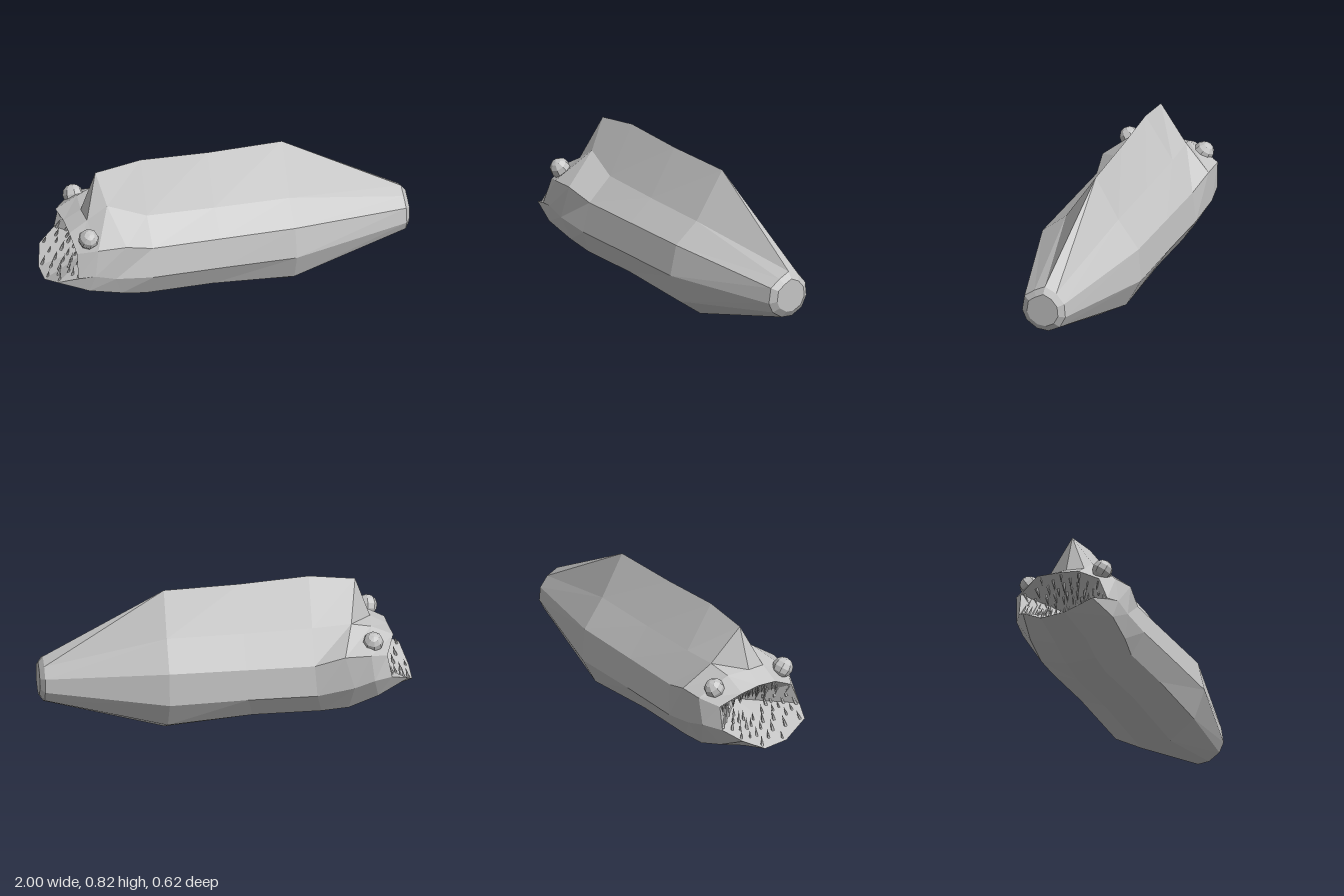
import * as THREE from 'three';

const V = (x, y, z) => new THREE.Vector3(x, y, z);
const ring = (pts) => pts.map((p) => V(...p));
// cross-section [z, y] placed at one x, starting at the ridge and running down the +z side
const flatRing = (x, pts) => pts.map(([z, y]) => V(x, y, z));
const collapse = (r, centre, t) => r.map((p) => p.clone().lerp(centre, t));

// faceted skin through a list of rings, ordered from tail to head
function loft(rings, material, name) {
  const pos = [];
  for (let i = 0; i < rings.length - 1; i++) {
    const n = rings[i].length;
    for (let k = 0; k < n; k++) {
      const a = rings[i][k], b = rings[i][(k + 1) % n];
      const c = rings[i + 1][(k + 1) % n], d = rings[i + 1][k];
      for (const t of [[a, d, c], [a, c, b]]) {
        const area = t[1].clone().sub(t[0]).cross(t[2].clone().sub(t[0])).length();
        if (area > 1e-9) t.forEach((p) => pos.push(p.x, p.y, p.z));
      }
    }
  }
  const g = new THREE.BufferGeometry();
  g.setAttribute('position', new THREE.Float32BufferAttribute(pos, 3));
  g.computeVertexNormals();
  const m = new THREE.Mesh(g, material);
  m.name = name;
  return m;
}

export function createModel() {
  const group = new THREE.Group();
  const grey = new THREE.MeshStandardMaterial({ color: 0xc4c4c4, flatShading: true });
  grey.name = 'pale grey';

  // tail stub
  const tail = flatRing(0.975, [[0, 0.43], [0.06, 0.4], [0.117, 0.36], [0.13, 0.275], [0.105, 0.22],
    [0.045, 0.18], [-0.02, 0.175], [-0.085, 0.208], [-0.117, 0.27], [-0.11, 0.345], [-0.065, 0.4]]);
  const tailHub = V(0.975, 0.305, 0);
  const tip = collapse(tail, tailHub, 0.28);
  tip.forEach((p) => { p.x = 1; });
  const tipCentre = collapse(tip, V(1, 0.305, 0), 1);

  // widest part of the body
  const hind = flatRing(0.33, [[-0.035, 0.8], [0.135, 0.547], [0.27, 0.44], [0.308, 0.275], [0.248, 0.115],
    [0.11, 0.015], [-0.06, 0.003], [-0.21, 0.085], [-0.295, 0.24], [-0.28, 0.42], [-0.165, 0.575]]);
  // same section moved forward, with its belly lifted
  const station = (x, ridgeY, ridgeZ, shoulder) => hind.map((p, i) => {
    if (i === 0) return V(x, ridgeY, ridgeZ);
    const low = Math.max(0, (0.3 - p.y) / 0.3);
    const lift = i === 1 || i === 10 ? shoulder : 0.047 * low;
    return V(x - 0.06 * low, p.y + lift, p.z);
  });
  const middle = station(-0.08, 0.805, -0.02, 0.005);
  const shoulders = station(-0.45, 0.825, -0.01, 0.015);

  // head: cheeks, then brow, then the lips
  const cheeks = ring([[-0.70, 0.79, 0], [-0.66, 0.635, 0.10], [-0.60, 0.488, 0.295], [-0.66, 0.30, 0.305],
    [-0.62, 0.18, 0.27], [-0.64, 0.088, 0.11], [-0.64, 0.085, -0.06], [-0.64, 0.13, -0.21],
    [-0.66, 0.29, -0.308], [-0.61, 0.475, -0.308], [-0.66, 0.60, -0.16]]);
  const brow = ring([[-0.78, 0.565, 0], [-0.77, 0.56, 0.10], [-0.75, 0.475, 0.275], [-0.77, 0.33, 0.30],
    [-0.80, 0.23, 0.28], [-0.80, 0.138, 0.12], [-0.80, 0.134, -0.05], [-0.80, 0.185, -0.2],
    [-0.77, 0.32, -0.295], [-0.75, 0.475, -0.305], [-0.77, 0.565, -0.13]]);
  const lips = ring([[-0.875, 0.51, 0], [-0.87, 0.50, 0.11], [-0.855, 0.44, 0.225], [-0.86, 0.315, 0.275],
    [-0.965, 0.28, 0.235], [-1, 0.21, 0.09], [-1, 0.20, -0.05], [-0.965, 0.265, -0.17],
    [-0.87, 0.31, -0.235], [-0.845, 0.44, -0.235], [-0.89, 0.505, -0.12]]);

  group.add(loft([tipCentre, tip, tail, hind, middle, shoulders, cheeks, brow, lips], grey, 'body'));

  // mouth cavity
  const throatCentre = V(-0.66, 0.34, 0);
  const throat = collapse(lips, throatCentre, 0.62);
  group.add(loft([lips, throat, collapse(throat, throatCentre, 1)], grey, 'mouth'));

  // thin teeth over the floor and roof of the mouth
  const teeth = new THREE.Group();
  teeth.name = 'teeth';
  const toothGeo = new THREE.ConeGeometry(0.009, 0.06, 5);
  toothGeo.translate(0, 0.026, 0);
  const n = lips.length;
  for (let k = 0; k < n; k++) {
    for (let j = 0; j < 6; j++) {
      const along = j % 2 ? 0.55 : 0.05;
      const depth = 0.08 + j * 0.13;
      const p = lips[k].clone().lerp(lips[(k + 1) % n], along).lerp(throatCentre, depth * 0.75);
      const tooth = new THREE.Mesh(toothGeo, grey);
      tooth.name = 'tooth';
      tooth.position.copy(p);
      const upward = p.y > 0.38 ? -1 : 1;
      const dir = V(0.25, upward, -p.z * 1.5).normalize();
      tooth.quaternion.setFromUnitVectors(V(0, 1, 0), dir);
      tooth.scale.setScalar(0.75 + 0.1 * ((k * 3 + j * 2) % 5));
      teeth.add(tooth);
    }
  }
  group.add(teeth);

  // eyes
  const eyeGeo = new THREE.SphereGeometry(0.056, 8, 6);
  for (const [name, x, y, z] of [['leftEye', -0.79, 0.52, 0.215], ['rightEye', -0.77, 0.515, -0.217]]) {
    const eye = new THREE.Mesh(eyeGeo, grey);
    eye.name = name;
    eye.position.set(x, y, z);
    eye.rotation.x = z > 0 ? 0.6 : -0.6;
    group.add(eye);
  }
  return group;
}
